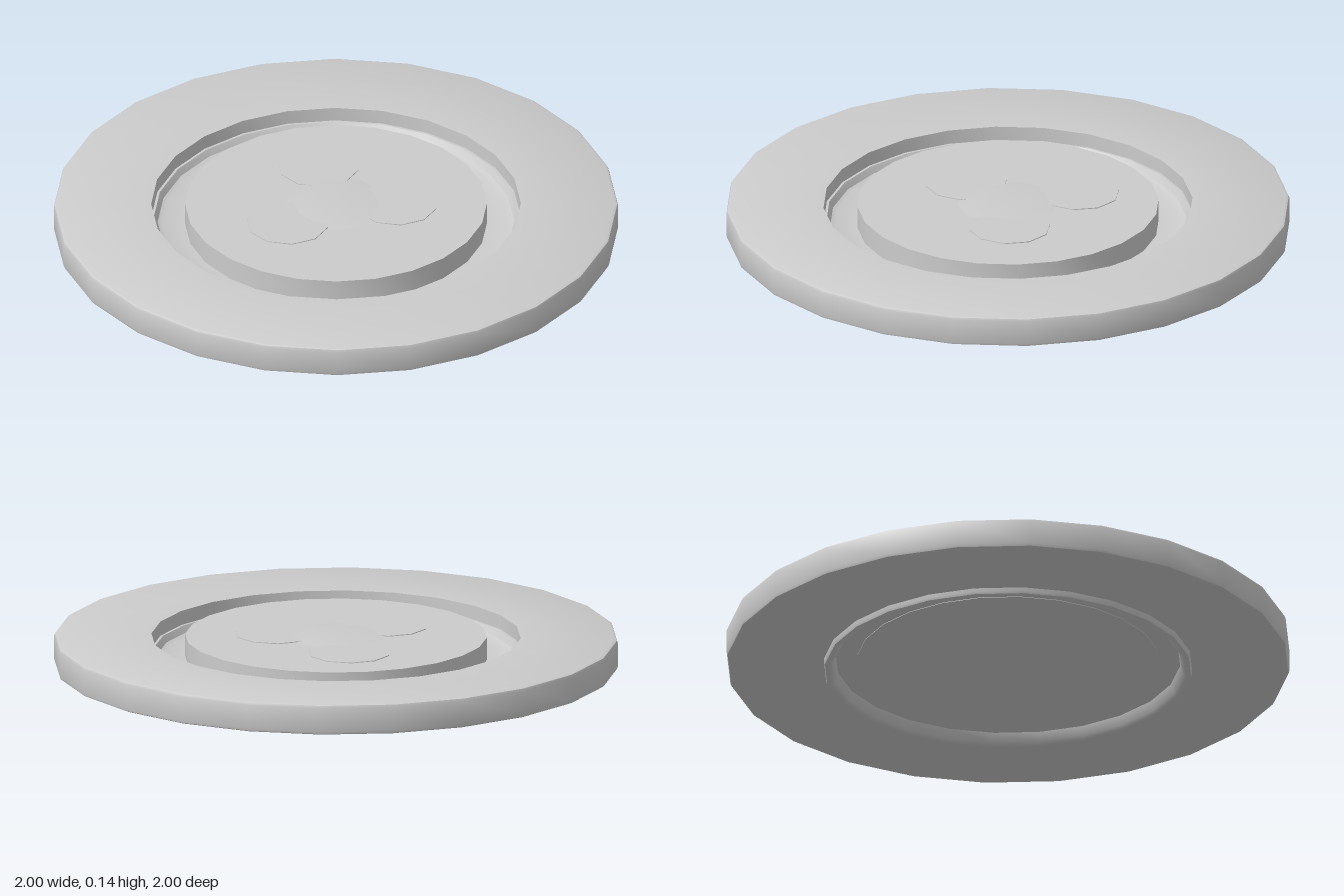
import * as THREE from 'three';
import { toCreasedNormals } from 'three/addons/utils/BufferGeometryUtils.js';

const SIDES = 24;
const material = new THREE.MeshStandardMaterial({ color: 0xcccccc });

// Revolves a profile given from the inner bottom, outwards, up and back in
function turned(name, profile, sides = SIDES) {
  const points = profile.map(([r, y]) => new THREE.Vector2(r, y));
  const geometry = toCreasedNormals(new THREE.LatheGeometry(points, sides), Math.PI / 5);
  const mesh = new THREE.Mesh(geometry, material);
  mesh.name = name;
  return mesh;
}

export function createModel() {
  const model = new THREE.Group();
  model.name = 'disc';

  // Wide outer ring with softened rim
  model.add(turned('outerRing', [
    [0.655, 0.025], [0.988, 0.025], [0.997, 0.029], [1, 0.038],
    [1, 0.124], [0.997, 0.132], [0.988, 0.136], [0.655, 0.136], [0.655, 0.025],
  ]));

  // Channel around the hub: recessed floor with a thin rounded lip below
  model.add(turned('channel', [
    [0.53, 0.045], [0.612, 0.045], [0.622, 0.012], [0.632, 0.002], [0.642, 0],
    [0.651, 0.004], [0.654, 0.012], [0.654, 0.085], [0.645, 0.085],
    [0.632, 0.062], [0.615, 0.055], [0.53, 0.055],
  ]));

  // Raised central hub
  model.add(turned('hub', [
    [0, 0.043], [0.535, 0.043], [0.535, 0.137], [0, 0.137],
  ]));

  // Very shallow three-lobed relief on the hub
  const relief = new THREE.Group();
  relief.name = 'relief';
  const lobes = [[-0.18, -0.19], [0.19, -0.1], [-0.08, 0.205]];
  for (const [x, z] of lobes) {
    const lobe = turned('reliefLobe', [[0.145, 0.136], [0.145, 0.14], [0, 0.14]], 10);
    lobe.position.set(x, 0, z);
    relief.add(lobe);
  }
  relief.add(turned('reliefCentre', [[0.19, 0.136], [0.13, 0.142], [0, 0.142]], 12));
  model.add(relief);

  return model;
}
